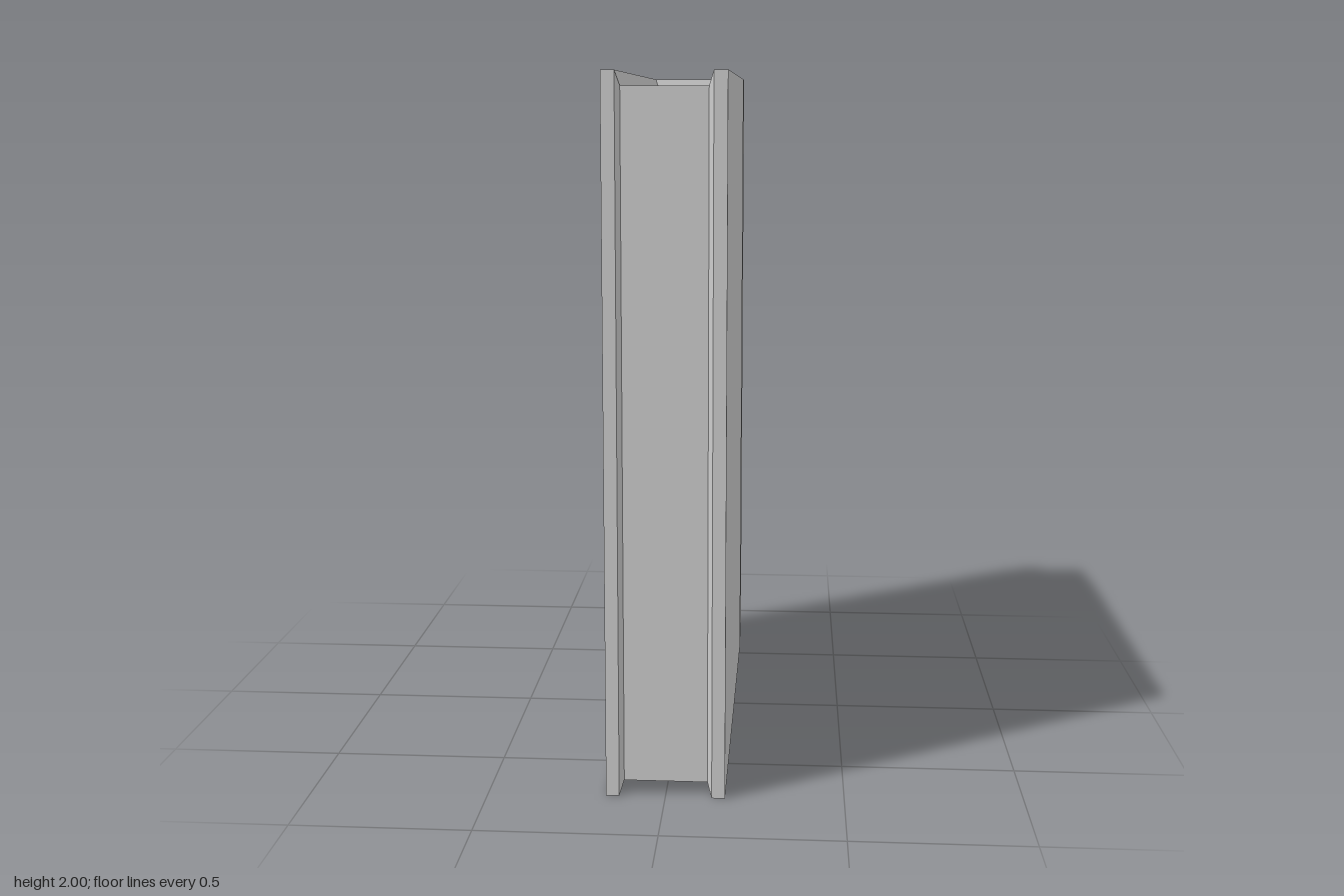
import * as THREE from 'three';

const HEIGHT = 2;

// Half outline of the case, [x, z], from the fore edge round to the spine
const OUTLINE = [
  [0.167, 0.75], [0.167, -0.578], [0.158, -0.604], [0.158, -0.63],
  [0.166, -0.694], [0.142, -0.733], [0.09, -0.75],
];
// Opening of the case and the recessed page block inside it
const OPEN = { x: 0.13, back: -0.578, front: 0.75, bottom: 0, top: HEIGHT };
const PAGES = { x: 0.117, back: -0.567, front: 0.733, bottom: 0.04, top: HEIGHT - 0.04 };

function mesh(name, geometry, side = THREE.FrontSide) {
  const material = new THREE.MeshStandardMaterial({ color: 0xcccccc, flatShading: true, side });
  const m = new THREE.Mesh(geometry, material);
  m.name = name;
  return m;
}

// Two boards joined by the rounded spine, with a groove at each hinge
function caseGeometry() {
  const mirror = (pts) => pts.map(([x, z]) => [-x, z]).reverse();
  const inner = [[OPEN.x, OPEN.back], [OPEN.x, OPEN.front]];
  const loop = [...OUTLINE, ...mirror(OUTLINE), ...mirror(inner), ...inner];
  const shape = new THREE.Shape(loop.map(([x, z]) => new THREE.Vector2(x, -z)));
  const g = new THREE.ExtrudeGeometry(shape, { depth: HEIGHT, bevelEnabled: false });
  return g.rotateX(-Math.PI / 2);
}

// Sloped lining that runs from the rim of the case in to the page block
function liningGeometry() {
  const corners = (o) => [
    [-o.x, o.bottom, o.front], [-o.x, o.bottom, o.back],
    [o.x, o.bottom, o.back], [o.x, o.bottom, o.front],
    [o.x, o.top, o.front], [o.x, o.top, o.back],
    [-o.x, o.top, o.back], [-o.x, o.top, o.front],
  ];
  const rim = corners(OPEN), foot = corners(PAGES);
  const pos = [];
  for (let i = 0; i < rim.length; i++) {
    const j = (i + 1) % rim.length;
    // the fore edge stays open between the boards
    if (rim[i][0] !== rim[j][0] && rim[i][2] === OPEN.front) continue;
    for (const p of [rim[i], rim[j], foot[j], rim[i], foot[j], foot[i]]) pos.push(...p);
  }
  const g = new THREE.BufferGeometry();
  g.setAttribute('position', new THREE.Float32BufferAttribute(pos, 3));
  g.computeVertexNormals();
  return g;
}

// Solid block of pages
function pagesGeometry() {
  const { x, back, front, bottom, top } = PAGES;
  const g = new THREE.BoxGeometry(2 * x, top - bottom, front - back);
  return g.translate(0, (top + bottom) / 2, (front + back) / 2);
}

export function createModel() {
  const book = new THREE.Group();
  book.name = 'book';
  book.add(
    mesh('cover', caseGeometry()),
    mesh('coverLining', liningGeometry(), THREE.DoubleSide),
    mesh('pageBlock', pagesGeometry()),
  );
  return book;
}
